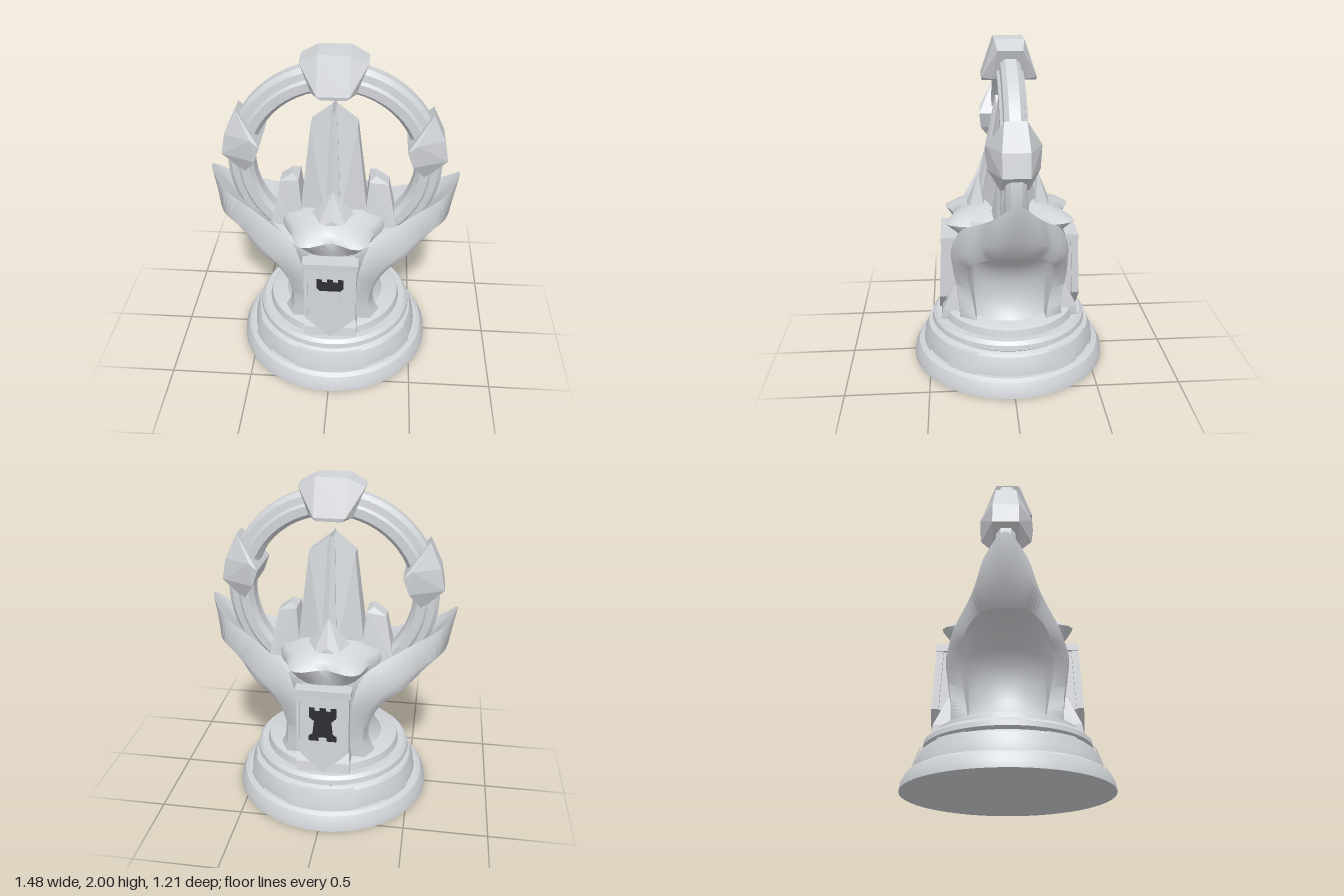
import * as THREE from 'three';
import { toCreasedNormals } from 'three/addons/utils/BufferGeometryUtils.js';
import { ConvexGeometry } from 'three/addons/geometries/ConvexGeometry.js';

const stone = new THREE.MeshStandardMaterial({ color: 0xd1d4d8 });
stone.name = 'stone grey';
const dark = new THREE.MeshStandardMaterial({ color: 0x2c2c32 });
dark.name = 'dark emblem';

const V = (x, y, z) => new THREE.Vector3(x, y, z);

function add(parent, geometry, name, material = stone) {
  const mesh = new THREE.Mesh(geometry, material);
  mesh.name = name;
  parent.add(mesh);
  return mesh;
}

// Convex solid; each point is mirrored over z, and over x too if asked
function hull(points, mirrorX = false) {
  const all = [];
  for (const [x, y, z] of points)
    for (const sx of mirrorX ? [1, -1] : [1])
      for (const sz of z ? [1, -1] : [1]) all.push(V(x * sx, y, z * sz));
  return new ConvexGeometry(all);
}
const solid = (points) => new ConvexGeometry(points.map((p) => V(...p)));

// Skin through closed cross-sections
function loft(sections, crease = 0.7) {
  const n = sections[0].length;
  const index = [];
  for (let i = 0; i < sections.length - 1; i++)
    for (let j = 0; j < n; j++) {
      const a = i * n + j, b = i * n + (j + 1) % n;
      index.push(a, b, a + n, b, b + n, a + n);
    }
  const g = new THREE.BufferGeometry().setFromPoints(sections.flat());
  g.setIndex(index);
  return toCreasedNormals(g, crease);
}

// Horizontal cross-section; radii(angle) gives the x and z radius
function level(y, sides, radii) {
  return Array.from({ length: sides }, (_, i) => {
    const a = (i / sides) * Math.PI * 2;
    const [rx, rz] = radii(a);
    return V(Math.cos(a) * rx, y, -Math.sin(a) * rz);
  });
}

function lathe(profile, segments = 48, start = 0, length = Math.PI * 2) {
  const pts = profile.map(([r, y]) => new THREE.Vector2(r, y));
  return toCreasedNormals(new THREE.LatheGeometry(pts, segments, start, length), 0.5);
}

const polygon = (pts) => new THREE.Shape(pts.map(([x, y]) => new THREE.Vector2(x, y)));
const plate = (shape, depth) => new THREE.ExtrudeGeometry(shape, { depth, bevelEnabled: false });

// Petal rails: rim edge, outer bulge, lower edge, inner surface, from foot to tip
const petalRows = [
  [[.15, .34, .31], [.24, .34, .31], [.30, .34, .21], [.15, .34, .20]],
  [[.15, .50, .325], [.23, .48, .315], [.255, .46, .23], [.15, .50, .22]],
  [[.155, .63, .345], [.24, .62, .335], [.27, .60, .255], [.15, .62, .22]],
  [[.17, .77, .355], [.28, .73, .335], [.34, .71, .255], [.18, .75, .22]],
  [[.23, .91, .30], [.38, .83, .30], [.43, .78, .235], [.25, .84, .20]],
  [[.46, 1.045, .185], [.54, .93, .205], [.52, .85, .165], [.38, .92, .11]],
  [[.655, 1.155, .11], [.665, 1.0, .125], [.56, .875, .09], [.45, .94, .06]],
  [[.74, 1.25, 0], [.70, 1.04, 0], [.57, .88, 0], [.50, .95, 0]],
];

function petalGeometry() {
  const rails = [0, 1, 2, 3].map((k) => {
    const half = petalRows.map((row) => V(...row[k]));
    const back = half.slice(0, -1).reverse().map((p) => V(p.x, p.y, -p.z));
    return new THREE.CatmullRomCurve3([...half, ...back]);
  });
  const sections = [];
  for (let i = 0; i <= 84; i++) sections.push(rails.map((c) => c.getPoint(i / 84)));
  return loft(sections, 1.15);
}

// Waisted body: height, half width, half depth
function bodyGeometry() {
  const rows = [[.33, .33, .31], [.38, .29, .29], [.46, .255, .28], [.58, .255, .28], [.66, .28, .29],
    [.73, .335, .30], [.80, .42, .30], [.85, .50, .30], [.88, .57, .29], [.90, .40, .25], [.90, 0, 0]];
  return loft(rows.map(([y, rx, rz]) => level(y, 40, () => [rx, rz])));
}

// Rocky bed: height, radius, reach of the four corner spikes
function rockGeometry() {
  const rows = [[.80, .29, 0], [.87, .315, .03], [.94, .325, .095], [.98, .305, .05],
    [1.005, .25, .02], [1.06, .15, 0], [1.12, 0, 0]];
  return loft(rows.map(([y, r, reach]) => level(y, 60, (a) => {
    const fold = Math.atan2(Math.abs(Math.sin(a)), Math.abs(Math.cos(a)));
    const k = r + reach * Math.pow(Math.cos(fold - 1.13), 30);
    return [k, k];
  })), 0.8);
}

// Hanging banner with raised border, bracket, support and tower emblem
function banner(allDark) {
  const g = new THREE.Group();
  g.name = 'banner';
  const cloth = new THREE.Group();
  cloth.name = 'bannerCloth';
  cloth.position.set(0, .84, .37);
  cloth.rotation.x = -0.05;
  g.add(cloth);
  const outline = (w, top, side, tip) => [[-w, top], [-w, side], [0, tip], [w, side], [w, top]];
  add(cloth, plate(polygon(outline(.15, 0, -.39, -.53)), .03), 'bannerPanel');
  const border = polygon(outline(.155, 0, -.39, -.54));
  border.holes.push(polygon(outline(.135, -.025, -.38, -.505)));
  add(cloth, plate(border, .042), 'bannerBorder');
  // tower emblem
  const crown = [[-.08, -.11], [-.048, -.11], [-.048, -.13], [-.018, -.13], [-.018, -.11], [.018, -.11],
    [.018, -.13], [.048, -.13], [.048, -.11], [.08, -.11], [.08, -.17], [.06, -.19], [-.06, -.19], [-.08, -.17]];
  const tower = [[-.05, -.19], [.05, -.19], [.06, -.28], [.082, -.295], [.082, -.325], [.025, -.325],
    [.025, -.3], [-.025, -.3], [-.025, -.325], [-.082, -.325], [-.082, -.295], [-.06, -.28]];
  const detail = add(cloth, plate(polygon(crown), .008), 'emblemCrown', dark);
  const trunk = add(cloth, plate(polygon(tower), .008), 'emblemTower', allDark ? dark : stone);
  detail.position.z = trunk.position.z = .03;
  // bracket and support behind the cloth
  const bracket = add(g, new THREE.BoxGeometry(.33, .04, .08), 'bannerBracket');
  bracket.position.set(0, .825, .375);
  const upper = [], foot = [];
  for (const x of [-.14, .14]) {
    upper.push([x, .82, .2], [x, .82, .38], [x, .45, .395], [x, .45, .2]);
    foot.push([x, .52, .2], [x, .52, .34], [x * 1.15, .34, .2], [x * 1.15, .36, .415], [x * 1.15, .30, .425], [x, .30, .2]);
  }
  add(g, solid(upper), 'bannerSupport');
  add(g, solid(foot), 'bannerFoot');
  return g;
}

export function createModel() {
  const model = new THREE.Group();
  model.name = 'trophy';

  // stepped round base
  add(model, lathe([[0, 0], [.605, 0], [.60, .04], [.575, .09], [.55, .105], [.53, .105], [.525, .15], [.50, .215],
    [.48, .23], [.465, .235], [.485, .25], [.48, .28], [.46, .30], [.42, .30], [.41, .345], [.39, .355], [0, .355]], 56), 'base');
  // raised blocks: wide at front and back, narrow at the corners
  const blocks = [[0, .41], [Math.PI, .41]];
  for (const c of [.96, Math.PI - .96]) blocks.push([c, .19], [-c, .19]);
  for (const [centre, spread] of blocks)
    add(model, lathe([[.50, .10], [.543, .105], [.535, .15], [.51, .223], [.46, .225]], 8,
      centre - spread, spread * 2), 'baseBlock');

  add(model, bodyGeometry(), 'body');
  add(model, rockGeometry(), 'rockBed');

  // ring with stepped section
  const half = [[.63, .03], [.605, .055], [.565, .06], [.55, .075], [.50, .075], [.475, .04]];
  const lower = half.map(([r, y]) => [r, -y]).reverse();
  const ring = add(model, lathe([[.63, -.03], ...half, ...lower], 56), 'ring');
  ring.rotation.x = Math.PI / 2;
  ring.position.y = 1.3;

  // clamp at the top of the ring
  add(model, hull([[.09, 2.0, .085], [.19, 1.95, .07], [.125, 1.785, .10], [.07, 1.77, .155], [.09, 1.79, .158]], true), 'topClamp');

  // parts that repeat on both sides
  const petal = petalGeometry();
  const clamp = hull([[.56, 1.65, .06], [.63, 1.50, .075], [.655, 1.37, .075], [.53, 1.25, .07],
    [.42, 1.46, .155], [.455, 1.36, .145], [.47, 1.50, .15]]);
  const sideCrystal = hull([[.38, .90, .09], [.325, 1.18, .05], [.25, 1.235, .04], [.21, 1.21, .08], [.18, .90, .13]]);
  for (const [side, turn] of [['left', 0], ['right', Math.PI]]) {
    const g = new THREE.Group();
    g.name = side + 'Side';
    g.rotation.y = turn;
    add(g, petal, 'petal');
    add(g, clamp, 'sideClamp');
    add(g, sideCrystal, 'sideCrystal');
    model.add(g);
  }

  // tall crystal: two slabs and a central ridge
  for (const s of [1, -1])
    add(model, hull([[.21 * s, .92, .10], [.03 * s, .92, .19], [.135 * s, 1.56, .05], [.01 * s, 1.655, .06]]), 'crystalSlab');
  add(model, hull([[.05, .92, .20], [0, .92, .23], [.02, 1.63, .07], [0, 1.67, .075]], true), 'crystalRidge');

  // small gem and banner, front and back
  for (const [turn, name] of [[0, 'front'], [Math.PI, 'back']]) {
    const g = new THREE.Group();
    g.name = name + 'Side';
    g.rotation.y = turn;
    model.add(g);
    add(g, solid([[0, 1.20, .18], [-.05, 1.14, .17], [.05, 1.14, .17], [-.15, 1.0, .15], [.15, 1.0, .15],
      [-.09, .97, .25], [.09, .97, .25], [0, 1.04, .245], [0, .96, .1]]), 'gem');
    g.add(banner(turn !== 0));
  }
  return model;
}
